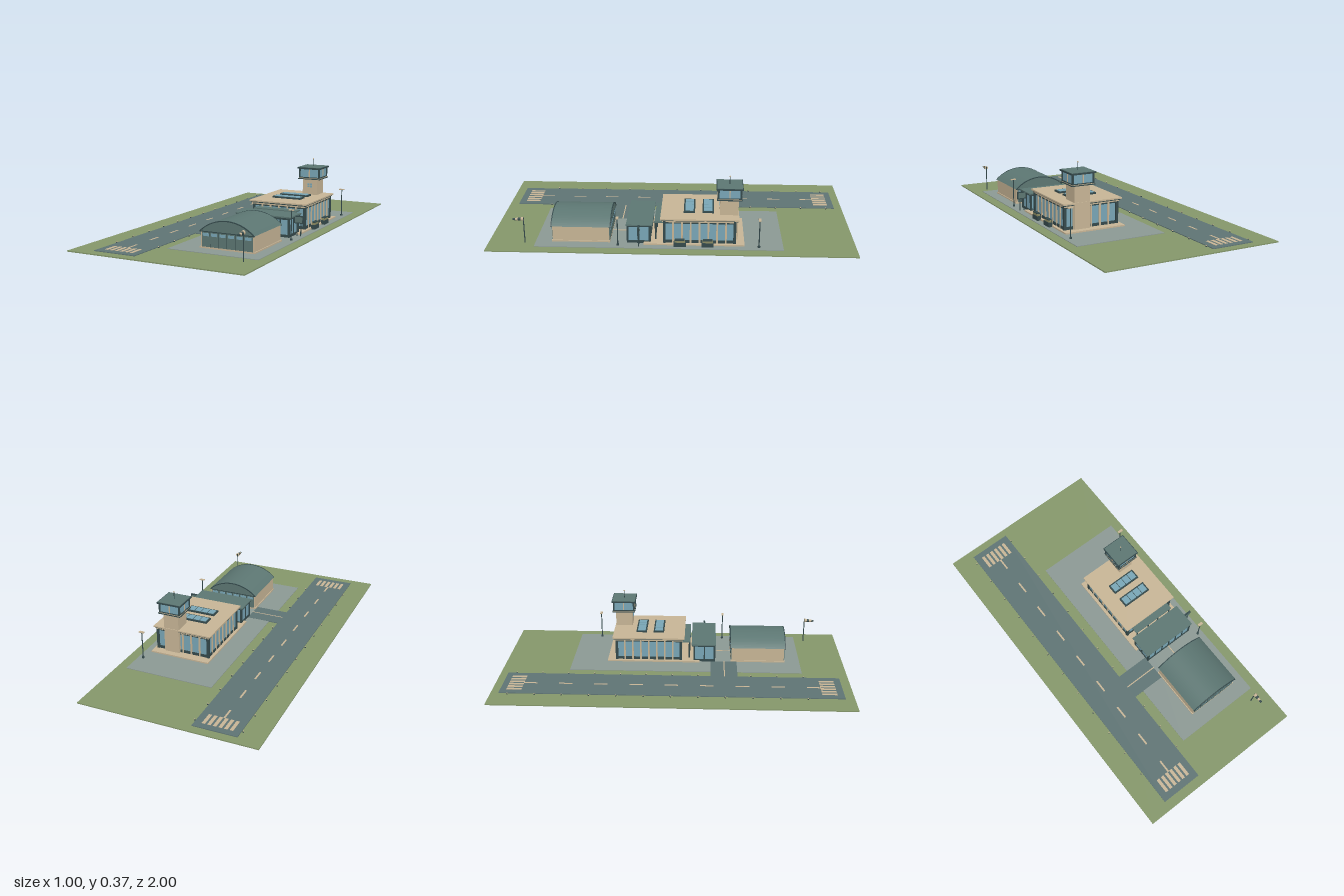
import * as THREE from 'three';

const mat = (name, color) => {
  const m = new THREE.MeshStandardMaterial({ color });
  m.name = name;
  return m;
};

export function createModel() {
  const root = new THREE.Group();
  root.name = 'airfield';
  const M = {
    grass: mat('grass green', 0x84966a),
    asphalt: mat('asphalt', 0x5e7373),
    apron: mat('apron grey', 0x8b9893),
    beige: mat('beige', 0xc6b495),
    roof: mat('teal roof', 0x5c7672),
    glass: mat('blue glass', 0x78a5b5),
    dark: mat('dark frame', 0x34494b),
    hedge: mat('hedge olive', 0x8a8a62),
  };

  const group = (name) => {
    const g = new THREE.Group();
    g.name = name;
    root.add(g);
    return g;
  };
  const add = (parent, name, geo, m, x = 0, y = 0, z = 0) => {
    const mesh = new THREE.Mesh(geo, m);
    mesh.name = name;
    mesh.position.set(x, y, z);
    parent.add(mesh);
    return mesh;
  };
  // Box given by its limits on each axis
  const box = (p, name, m, x0, x1, y0, y1, z0, z1) =>
    add(p, name, new THREE.BoxGeometry(x1 - x0, y1 - y0, z1 - z0), m,
      (x0 + x1) / 2, (y0 + y1) / 2, (z0 + z1) / 2);
  const pole = (p, name, m, x, z, y0, y1, r) =>
    add(p, name, new THREE.CylinderGeometry(r, r, y1 - y0, 8), m, x, (y0 + y1) / 2, z);

  // Glass hall with sill, head band and posts on all four sides
  const glassHall = (p, x0, x1, y0, y1, z0, z1, nx, nz, sill, head, postMat, w) => {
    box(p, 'glazing', M.glass, x0, x1, y0, y1, z0, z1);
    const e = 0.004;
    box(p, 'sill', M.dark, x0 - e, x1 + e, y0, y0 + sill, z0 - e, z1 + e);
    box(p, 'headBand', M.dark, x0 - e, x1 + e, y1 - head, y1, z0 - e, z1 + e);
    const post = (x, z, corner) => {
      const h = corner ? w * 0.75 : w / 2;
      box(p, 'post', corner ? M.dark : postMat, x - h, x + h, y0, y1, z - h, z + h);
    };
    for (let i = 0; i <= nx; i++)
      for (const z of [z0, z1]) post(x0 + (x1 - x0) * i / nx, z, i === 0 || i === nx);
    for (let i = 1; i < nz; i++)
      for (const x of [x0, x1]) post(x, z0 + (z1 - z0) * i / nz, false);
  };

  // Ground, runway, taxiway and apron
  const ground = group('ground');
  box(ground, 'grass', M.grass, -0.5, 0.5, 0, 0.006, -1, 1);
  box(ground, 'runway', M.asphalt, -0.372, -0.128, 0.005, 0.01, -0.955, 0.948);
  box(ground, 'apron', M.apron, -0.07, 0.443, 0.005, 0.009, -0.606, 0.743);
  box(ground, 'taxiway', M.asphalt, -0.129, 0.068, 0.005, 0.0098, 0.215, 0.37);

  // Painted markings
  const marks = group('markings');
  for (const z of [-0.878, 0.868])
    for (let i = 0; i < 6; i++) {
      const x = -0.25 + (i - 2.5) * 0.03;
      box(marks, 'thresholdBar', M.beige, x - 0.009, x + 0.009, 0.01, 0.0112, z - 0.042, z + 0.042);
    }
  for (let i = 0; i < 9; i++) {
    const z = -0.8 + i * 0.1988;
    box(marks, 'centreDash', M.beige, -0.255, -0.245, 0.01, 0.0112, z - 0.038, z + 0.038);
  }
  box(marks, 'taxiLine', M.beige, -0.128, 0.07, 0.0096, 0.0108, 0.292, 0.298);
  box(marks, 'hangarLine', M.beige, 0.22, 0.226, 0.009, 0.0102, 0.24, 0.335);

  // Runway edge lights
  const lights = group('runwayLights');
  for (let i = 0; i < 12; i++)
    for (const x of [-0.381, -0.121]) {
      const z = -0.905 + i * 0.15;
      if (x > -0.2 && z > 0.2 && z < 0.38) continue;
      pole(lights, 'lightBase', M.dark, x, z, 0.005, 0.011, 0.004);
      pole(lights, 'lightCap', M.beige, x, z, 0.011, 0.015, 0.003);
    }

  // Terminal with layered roof
  const terminal = group('terminal');
  box(terminal, 'plinth', M.beige, 0.05, 0.404, 0.006, 0.017, -0.397, 0.15);
  glassHall(terminal, 0.072, 0.383, 0.017, 0.147, -0.343, 0.038, 6, 8, 0.016, 0.016, M.beige, 0.01);
  box(terminal, 'cornice', M.beige, 0.062, 0.39, 0.14, 0.148, -0.354, 0.05);
  box(terminal, 'roofShadowBand', M.dark, 0.057, 0.393, 0.148, 0.154, -0.36, 0.055);
  box(terminal, 'roofSlab', M.beige, 0.05, 0.4, 0.154, 0.162, -0.366, 0.06);
  for (const z of [-0.199, -0.096]) {
    box(terminal, 'skylightFrame', M.dark, 0.137, 0.312, 0.161, 0.171, z - 0.031, z + 0.031);
    for (let i = 0; i < 4; i++) {
      const x = 0.145 + i * 0.0405;
      box(terminal, 'skylightPane', M.glass, x, x + 0.037, 0.17, 0.173, z - 0.023, z + 0.023);
    }
  }

  // Entrance canopy between the terminal and the concourse
  box(terminal, 'entranceCanopy', M.roof, 0.095, 0.355, 0.118, 0.126, 0.036, 0.094);
  for (const x of [0.105, 0.19, 0.26, 0.345])
    pole(terminal, 'canopyColumn', M.dark, x, 0.088, 0.017, 0.12, 0.004);

  // Planters beside the terminal
  for (const z of [-0.197, -0.047]) {
    box(terminal, 'planter', M.dark, 0.402, 0.424, 0.009, 0.034, z - 0.033, z + 0.033);
    box(terminal, 'planterHedge', M.hedge, 0.404, 0.422, 0.034, 0.046, z - 0.028, z + 0.028);
    box(terminal, 'planterCap', M.dark, 0.403, 0.423, 0.046, 0.051, z - 0.026, z + 0.026);
  }

  // Control tower
  const tower = group('controlTower');
  const tx = 0.289, tz = -0.313;
  const slab = (name, m, r, y0, y1) => box(tower, name, m, tx - r, tx + r, y0, y1, tz - r, tz + r);
  box(tower, 'shaft', M.beige, 0.244, 0.334, 0.017, 0.256, -0.362, -0.262);
  for (const x of [0.281, 0.297])
    for (const y of [0.211, 0.224]) {
      box(tower, 'shaftWindow', M.glass, x - 0.006, x + 0.006, y - 0.005, y + 0.005, -0.263, -0.259);
    }
  slab('cabFloor', M.dark, 0.068, 0.254, 0.259);
  slab('cabFloorTrim', M.beige, 0.065, 0.259, 0.262);
  glassHall(tower, tx - 0.06, tx + 0.06, 0.262, 0.318, tz - 0.06, tz + 0.06, 2, 2, 0.005, 0.005, M.beige, 0.006);
  slab('cabRoof', M.dark, 0.072, 0.316, 0.324);
  slab('cabRoofTop', M.roof, 0.068, 0.324, 0.326);
  pole(tower, 'antenna', M.dark, tx, tz, 0.325, 0.37, 0.002);
  add(tower, 'antennaTip', new THREE.SphereGeometry(0.004, 10, 8), M.beige, tx, 0.37, tz);

  // Concourse
  const concourse = group('concourse');
  glassHall(concourse, 0.072, 0.376, 0.009, 0.112, 0.118, 0.238, 6, 2, 0.014, 0.008, M.dark, 0.007);
  box(concourse, 'concourseFascia', M.dark, 0.06, 0.388, 0.108, 0.115, 0.105, 0.243);
  box(concourse, 'concourseRoof', M.roof, 0.057, 0.391, 0.115, 0.122, 0.102, 0.246);

  // Sign board on posts
  box(concourse, 'signBoard', M.dark, 0.382, 0.435, 0.078, 0.12, 0.172, 0.181);
  for (const z of [0.1705, 0.1815])
    box(concourse, 'signFace', M.roof, 0.387, 0.43, 0.084, 0.114, z, z + 0.001);
  for (const x of [0.397, 0.42]) pole(concourse, 'signPost', M.dark, x, 0.1765, 0.009, 0.08, 0.003);

  // Hangar with a vaulted roof
  const hangar = group('hangar');
  const hx = 0.224, z0 = 0.34, z1 = 0.65, spring = 0.098;
  box(hangar, 'hangarFoot', M.beige, 0.068, 0.38, 0.009, 0.017, z0 - 0.005, z1 + 0.005);
  box(hangar, 'hangarWalls', M.beige, 0.073, 0.375, 0.017, spring + 0.002, z0, z1);
  const half = 0.156;
  const vault = (name, m, rise, thick, za, zb) => {
    const R = (half * half + rise * rise) / (2 * rise), a = Math.asin(half / R), cy = rise - R;
    const s = new THREE.Shape();
    s.absarc(0, cy, R, Math.PI / 2 - a, Math.PI / 2 + a, false);
    if (thick) s.absarc(0, cy, R - thick, Math.PI / 2 + a, Math.PI / 2 - a, true);
    const geo = new THREE.ExtrudeGeometry(s, { depth: zb - za, bevelEnabled: false, curveSegments: 16 });
    add(hangar, name, geo, m, hx, spring, za);
  };
  vault('vaultRoof', M.roof, 0.061, 0, z0 - 0.007, z1 + 0.006);
  for (const z of [z0 - 0.009, z1 + 0.004]) vault('vaultTrim', M.dark, 0.063, 0.005, z, z + 0.005);
  for (const [z, s] of [[z1, 1], [z0, -1]]) {
    const plate = (name, m, xa, xb, ya, yb, d0, d1) =>
      box(hangar, name, m, xa, xb, ya, yb, Math.min(z + s * d0, z + s * d1), Math.max(z + s * d0, z + s * d1));
    plate('doorHeader', M.dark, 0.07, 0.378, 0.094, 0.099, 0, 0.007);
    for (let i = 0; i < 6; i++) {
      const x = 0.08 + i * 0.048;
      plate('doorPanel', M.roof, x + 0.001, x + 0.047, 0.017, 0.094, 0, 0.004);
      plate('doorWindow', M.glass, x + 0.007, x + 0.041, 0.073, 0.088, 0.003, 0.006);
      if (i) plate('doorSeam', M.dark, x - 0.001, x + 0.001, 0.017, 0.094, 0, 0.005);
    }
  }

  // Lamp posts
  for (const z of [0.289, -0.474]) {
    const lamp = group('lampPost');
    pole(lamp, 'lampFoot', M.dark, 0.413, z, 0.009, 0.018, 0.007);
    pole(lamp, 'lampPole', M.dark, 0.413, z, 0.009, 0.17, 0.003);
    box(lamp, 'lampHead', M.beige, 0.398, 0.428, 0.169, 0.174, z - 0.007, z + 0.007);
  }

  // Windsock
  const sock = group('windsock');
  pole(sock, 'sockPole', M.dark, 0.393, 0.8, 0.005, 0.155, 0.003);
  for (let i = 0; i < 4; i++) {
    const r = 0.011 - i * 0.0015;
    const cone = new THREE.CylinderGeometry(r - 0.0015, r, 0.0145, 10).rotateX(Math.PI / 2);
    add(sock, 'sockBand', cone, i % 2 ? M.dark : M.beige, 0.393, 0.148 - i * 0.001, 0.807 + i * 0.0145);
  }
  return root;
}
